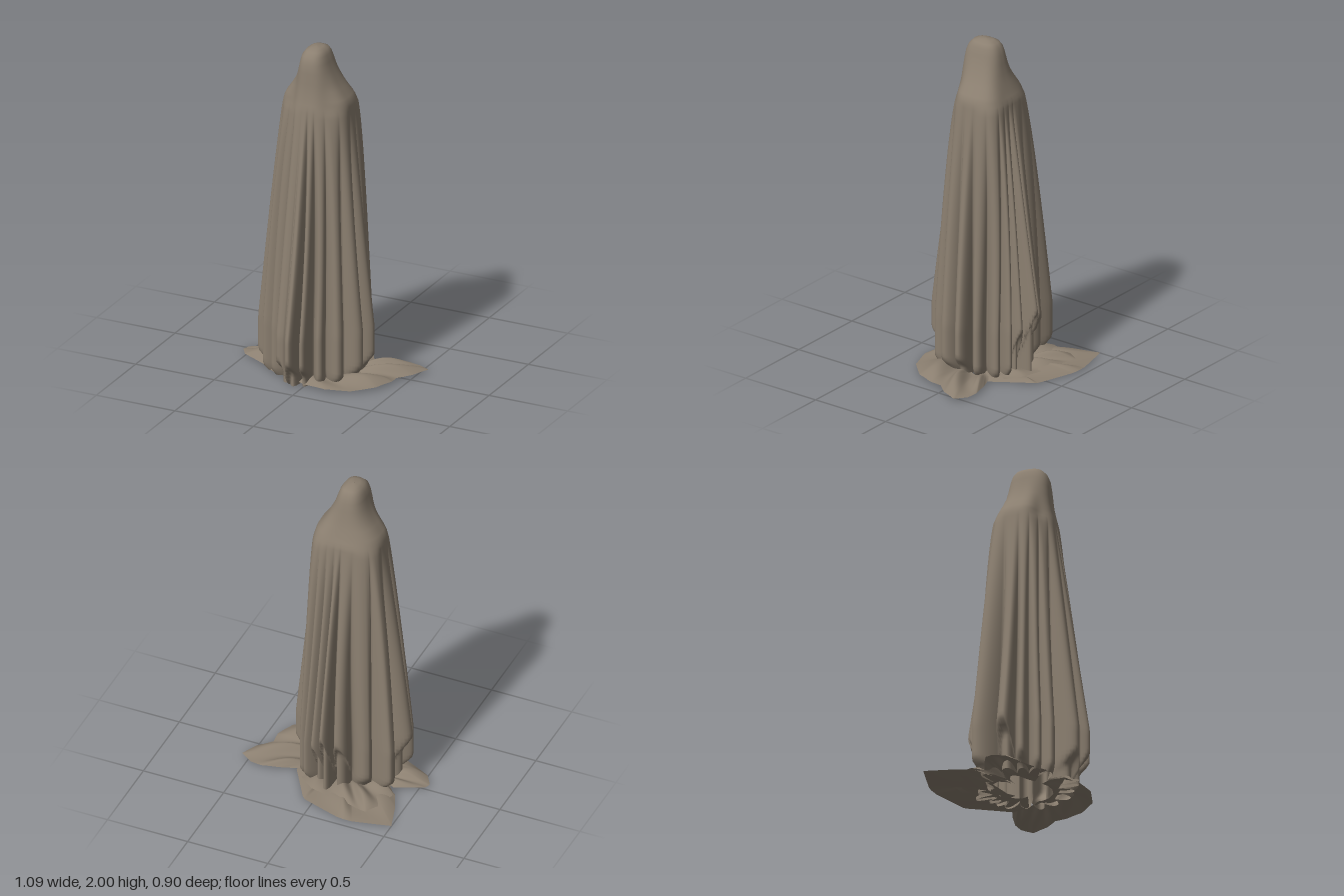
import * as THREE from 'three';

const cloth = new THREE.MeshStandardMaterial({ color: 0x8b7f70, side: THREE.DoubleSide });
cloth.name = 'taupe cloth';

const CX = -0.05, CZ = 0.06; // axis of the draped figure
const SHOULDER = 1.66, FULL = 0.3;
const mix = THREE.MathUtils.lerp;
const smooth = (x, a, b) => THREE.MathUtils.smoothstep(x, a, b);

// Head and shoulder sections: y, x min, x max, z min, z max
const SECTIONS = [
  [2.0, -0.056, -0.054, 0.079, 0.081],
  [1.997, -0.085, -0.022, 0.035, 0.125],
  [1.985, -0.108, 0.002, 0.003, 0.157],
  [1.96, -0.126, 0.017, -0.016, 0.182],
  [1.92, -0.136, 0.03, -0.03, 0.198],
  [1.87, -0.148, 0.046, -0.04, 0.204],
  [1.81, -0.17, 0.073, -0.053, 0.208],
  [1.76, -0.201, 0.1, -0.068, 0.213],
  [1.71, -0.236, 0.135, -0.086, 0.222],
  [1.685, -0.248, 0.147, -0.096, 0.228],
  [SHOULDER, -0.255, 0.153, -0.107, 0.234],
];

// Hanging folds: outer edge x, z, hem height, depth of the crease after it
const FOLDS = [
  [0.285, 0.03, 0.14, 0.72], [0.265, 0.15, 0.1, 0.72], [0.18, 0.27, 0.06, 0.68],
  [0.08, 0.33, 0.05, 0.66], [0.01, 0.42, 0.14, 0.62], [-0.06, 0.45, 0.16, 0.94],
  [-0.14, 0.41, 0.16, 0.66], [-0.24, 0.29, 0.05, 0.7],
  [-0.32, 0.24, 0.05, 0.7], [-0.39, 0.16, 0.1, 0.7], [-0.43, 0.06, 0.31, 0.6],
  [-0.385, -0.14, 0.1, 0.8], [-0.25, -0.16, 0.1, 0.68], [-0.1, -0.28, 0.36, 0.66],
  [-0.02, -0.33, 0.41, 0.66], [0.06, -0.26, 0.3, 0.7], [0.12, -0.225, 0.08, 0.7],
  [0.17, -0.17, 0.06, 0.7], [0.215, -0.05, 0.06, 0.7],
].map(([x, z, hem, crease]) => ({
  angle: (Math.atan2(z - CZ, x - CX) + Math.PI * 2 + 0.2) % (Math.PI * 2) - 0.2,
  radius: Math.hypot(x - CX, z - CZ),
  hem,
  crease,
})).sort((a, b) => a.angle - b.angle);

// Indexed grid surface; wrap joins the last column to the first
function gridGeometry(rows, wrap) {
  const cols = rows[0].length, index = [];
  const last = wrap ? cols : cols - 1;
  for (let j = 0; j < rows.length - 1; j++) {
    for (let i = 0; i < last; i++) {
      const a = j * cols + i, b = j * cols + (i + 1) % cols;
      index.push(a, b, a + cols, b, b + cols, a + cols);
    }
  }
  const geometry = new THREE.BufferGeometry();
  geometry.setAttribute('position', new THREE.Float32BufferAttribute(rows.flat(2), 3));
  geometry.setIndex(index);
  geometry.computeVertexNormals();
  return geometry;
}

// Columns round the robe: rounded folds with sharp creases between them
function foldColumns(perFold = 16) {
  const columns = [];
  FOLDS.forEach((fold, k) => {
    const next = FOLDS[(k + 1) % FOLDS.length];
    const gap = (next.angle - fold.angle + Math.PI * 2) % (Math.PI * 2);
    for (let i = 0; i < perFold; i++) {
      const u = i / perFold;
      const dip = Math.pow(1 - Math.abs(2 * u - 1), 2.3);
      const crease = Math.max(0.19, fold.crease * Math.min(fold.radius, next.radius));
      const crest = u < 0.5 ? fold : next;
      columns.push({
        angle: fold.angle + gap * u,
        radius: mix(mix(fold.radius, next.radius, smooth(u, 0.25, 0.75)), crease, dip),
        hem: mix(crest.hem, 0.05, dip),
      });
    }
  });
  return columns;
}

// Rounded-square section; towards the shoulders the front corners slope off
function sectionPoint([y, x0, x1, z0, z1], angle) {
  const c = Math.cos(angle), s = Math.sin(angle), power = 2.6;
  const low = smooth(-y, -1.9, -1.68);
  const corner = Math.pow(Math.sin(2 * angle), 4);
  const slope = s < 0 ? (c > 0 ? 0.08 : 0) : (c > 0 ? -0.1 : -0.17);
  const r = (1 + low * corner * slope) * Math.pow(
    Math.pow(Math.abs(c) * 2 / (x1 - x0), power) + Math.pow(Math.abs(s) * 2 / (z1 - z0), power),
    -1 / power);
  return [(x0 + x1) / 2 + c * r, (z0 + z1) / 2 + s * r];
}

function robeGeometry() {
  const columns = foldColumns();
  // Hood and shoulders
  const rows = SECTIONS.map((section) => columns.map(({ angle }) => {
    const [x, z] = sectionPoint(section, angle);
    return [x, section[0], z];
  }));
  // Hanging folds, swaying and billowing a little between the shoulders and the hem
  const shoulder = SECTIONS[SECTIONS.length - 1], steps = 64;
  for (let j = 1; j <= steps; j++) {
    const y = SHOULDER * (1 - j / steps) + 0.003;
    const t = Math.min(1, (SHOULDER - y) / (SHOULDER - FULL));
    const belly = Math.sin(Math.PI * Math.sqrt(t));
    rows.push(columns.map(({ angle, radius, hem }) => {
      const sway = angle + 0.04 * Math.sin(3 * angle + 1) * Math.sin(Math.PI * t);
      const [x, z] = sectionPoint(shoulder, sway);
      const tuck = 1 - 0.17 * smooth(hem - y, 0, 0.09);
      const billow = 1 + 0.1 * belly * Math.pow(Math.sin(2 * angle), 2);
      const hx = Math.cos(sway) * radius * tuck;
      const hz = Math.sin(sway) * radius * tuck;
      return [CX + mix(x - CX, hx, t) * billow, y, CZ + mix(z - CZ, hz, t) * billow];
    }));
  }
  return gridGeometry(rows, true);
}

// Cloth lying on the floor, fanned from the robe out to a rim of [x, z] points
function floorSheet(rim, height, waves, edge = 0.008) {
  const perSide = 8, steps = 18, outline = [];
  for (let k = 0; k < rim.length - 1; k++) {
    for (let i = 0; i < perSide; i++) {
      const u = i / perSide;
      outline.push([mix(rim[k][0], rim[k + 1][0], u), mix(rim[k][1], rim[k + 1][1], u)]);
    }
  }
  outline.push(rim[rim.length - 1]);
  const rows = [];
  for (let j = 0; j <= steps; j++) {
    const s = mix(0.4, 1, j / steps);
    rows.push(outline.map(([x, z], i) => {
      const v = i / (outline.length - 1);
      const ripple = 0.5 + 0.5 * Math.sin(v * waves * Math.PI * 2 + s * 5);
      const swell = Math.sin(Math.PI * Math.min(1, (1 - s) / 0.6 + 0.05));
      const y = edge + height * swell * (0.25 + 0.75 * ripple) * Math.sin(Math.PI * mix(0.1, 0.9, v));
      return [mix(CX, x, s), y, mix(CZ, z, s)];
    }));
  }
  // Rims run from +x towards +z, so reverse the rows to face up
  return gridGeometry(rows.reverse(), false);
}

export function createModel() {
  const group = new THREE.Group();
  group.name = 'drapedFigure';
  const add = (name, geometry) => {
    const mesh = new THREE.Mesh(geometry, cloth);
    mesh.name = name;
    group.add(mesh);
  };

  add('drapedRobe', robeGeometry());

  add('leftTrain', floorSheet([
    [0.2, -0.13], [0.3, -0.17], [0.4, -0.195], [0.47, -0.185], [0.545, -0.14], [0.5, -0.04],
    [0.43, 0.04], [0.435, 0.11], [0.39, 0.22], [0.28, 0.33], [0.14, 0.375], [0, 0.36], [-0.1, 0.31],
  ], 0.055, 4, 0.014));

  add('rightTrain', floorSheet([
    [-0.24, 0.26], [-0.34, 0.19], [-0.5, 0.11], [-0.545, 0.04], [-0.53, 0.0], [-0.45, -0.04],
    [-0.37, -0.07], [-0.27, -0.03],
  ], 0.05, 2));

  add('backTrain', floorSheet([
    [-0.3, -0.06], [-0.4, -0.12], [-0.45, -0.23], [-0.5, -0.395], [-0.28, -0.45], [-0.23, -0.455],
    [-0.18, -0.445], [0.05, -0.37], [0.07, -0.355], [0.21, -0.13], [0.18, -0.02],
  ], 0.035, 3, 0.004));

  add('backTrainFold', floorSheet([
    [-0.33, -0.05], [-0.4, -0.14], [-0.37, -0.27], [-0.32, -0.355], [-0.22, -0.335],
    [-0.1, -0.31], [0.05, -0.28], [0.15, -0.2],
  ], 0.05, 4, 0.018));

  return group;
}
